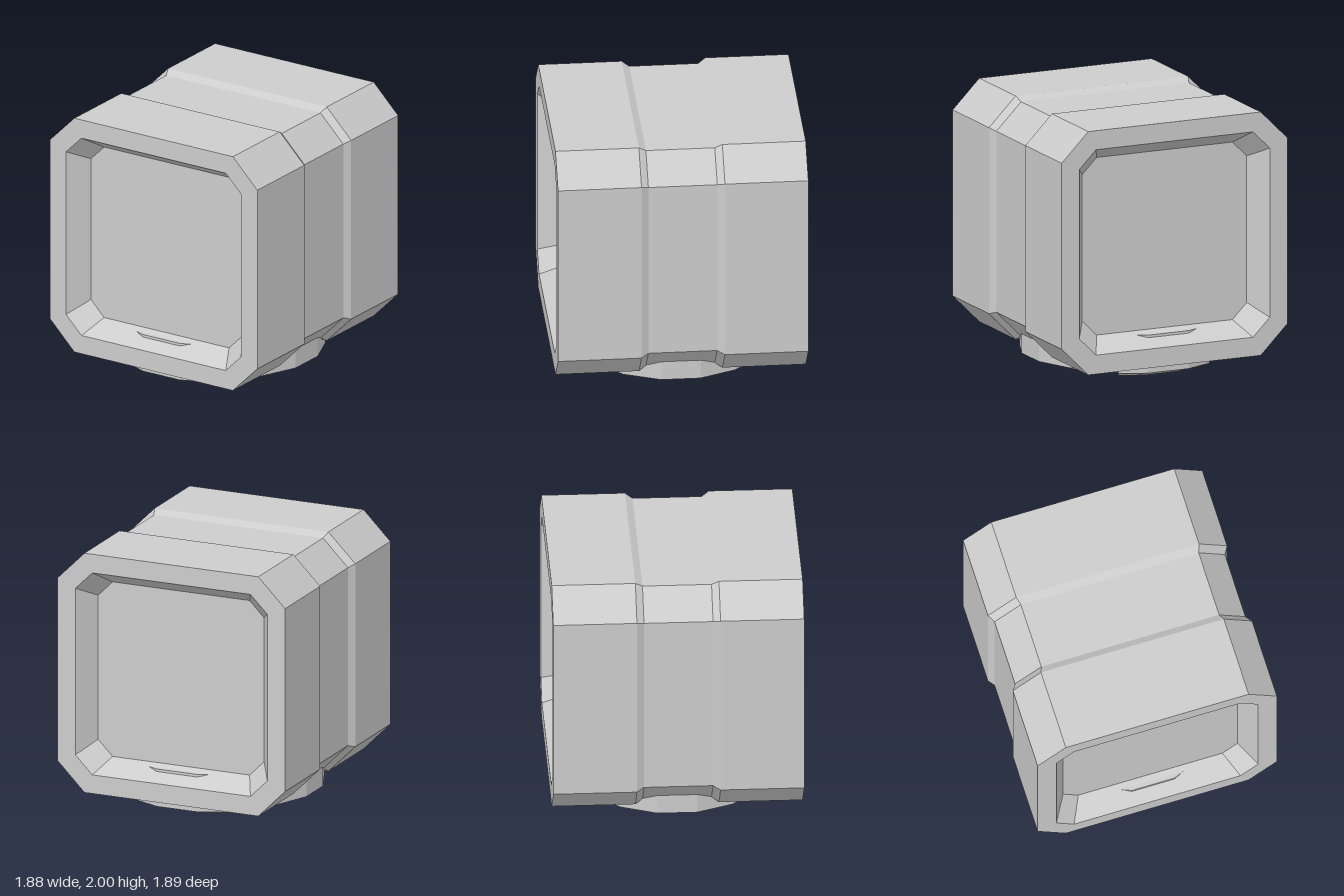
import * as THREE from 'three';

const RAD = Math.PI / 180;

// Skin a run of equal-length cross-sections with flat faces; optionally cap both ends.
function loft(sections, capped) {
  const pos = [];
  const tri = (...pts) => pts.forEach((p) => pos.push(...p));
  const n = sections[0].length;
  for (let i = 0; i < sections.length - 1; i++) {
    for (let j = 0; j < n; j++) {
      const k = (j + 1) % n;
      const a = sections[i][j], b = sections[i][k];
      const c = sections[i + 1][k], d = sections[i + 1][j];
      tri(a, d, c);
      tri(a, c, b);
    }
  }
  if (capped) {
    const first = sections[0], last = sections[sections.length - 1];
    const mid = (s) => [0, 1, 2].map((q) => s.reduce((t, p) => t + p[q], 0) / n);
    const m0 = mid(first), m1 = mid(last);
    for (let j = 0; j < n; j++) {
      const k = (j + 1) % n;
      tri(m0, first[j], first[k]);
      tri(m1, last[k], last[j]);
    }
  }
  const geo = new THREE.BufferGeometry();
  geo.setAttribute('position', new THREE.Float32BufferAttribute(pos, 3));
  geo.computeVertexNormals();
  return geo;
}

// Square with chamfered corners, at depth z
function octagon(half, chamfer, z) {
  const s = half - chamfer, cy = 1.058;
  return [[half, -s], [half, s], [s, half], [-s, half],
    [-half, s], [-half, -s], [-s, -half], [s, -half]].map(([x, y]) => [x, y + cy, z]);
}

// Profile of (radius, height) points turned to an angle on a 16-sided outline
function turned(profile, deg) {
  const off = deg - Math.round(deg / 22.5) * 22.5;
  const k = 1 / Math.cos(off * RAD);
  return profile.map(([r, y]) => [r * k * Math.sin(deg * RAD), y, r * k * Math.cos(deg * RAD)]);
}

export function createModel() {
  const group = new THREE.Group();
  const grey = new THREE.MeshStandardMaterial({ color: 0xcccccc });
  grey.name = 'light grey';
  const add = (name, geo) => {
    const mesh = new THREE.Mesh(geo, grey);
    mesh.name = name;
    group.add(mesh);
    return mesh;
  };

  // Housing: front recess, rim, waist groove, rim, back recess
  const front = [
    octagon(0.687, 0.12, 0.77),
    octagon(0.795, 0.14, 0.945),
    octagon(0.942, 0.222, 0.945),
    octagon(0.942, 0.222, 0.315),
    octagon(0.907, 0.207, 0.26),
  ];
  const back = front.map((s) => s.map(([x, y, z]) => [x, y, -z])).reverse();
  add('housing', loft([...front, ...back], true));

  // Base ring with a bevelled underside
  const ringProfile = [[0.58, 0.02], [0.67, 0.02], [0.75, 0.05], [0.75, 0.3], [0.58, 0.3]];
  const ring = [];
  for (let i = 0; i <= 16; i++) ring.push(turned(ringProfile, 11.25 + i * 22.5));
  add('baseRing', loft(ring, false));

  // Locking lugs at front and back, with a thin lip reaching inwards
  const lugProfile = [[0.47, 0], [0.7, 0], [0.845, 0.05], [0.845, 0.345],
    [0.66, 0.345], [0.6, 0.04], [0.47, 0.04]];
  const lug = loft([-26.7, -11.25, 11.25, 26.7].map((a) => turned(lugProfile, a)), true);
  add('frontLug', lug);
  add('backLug', lug).rotation.y = Math.PI;

  return group;
}
